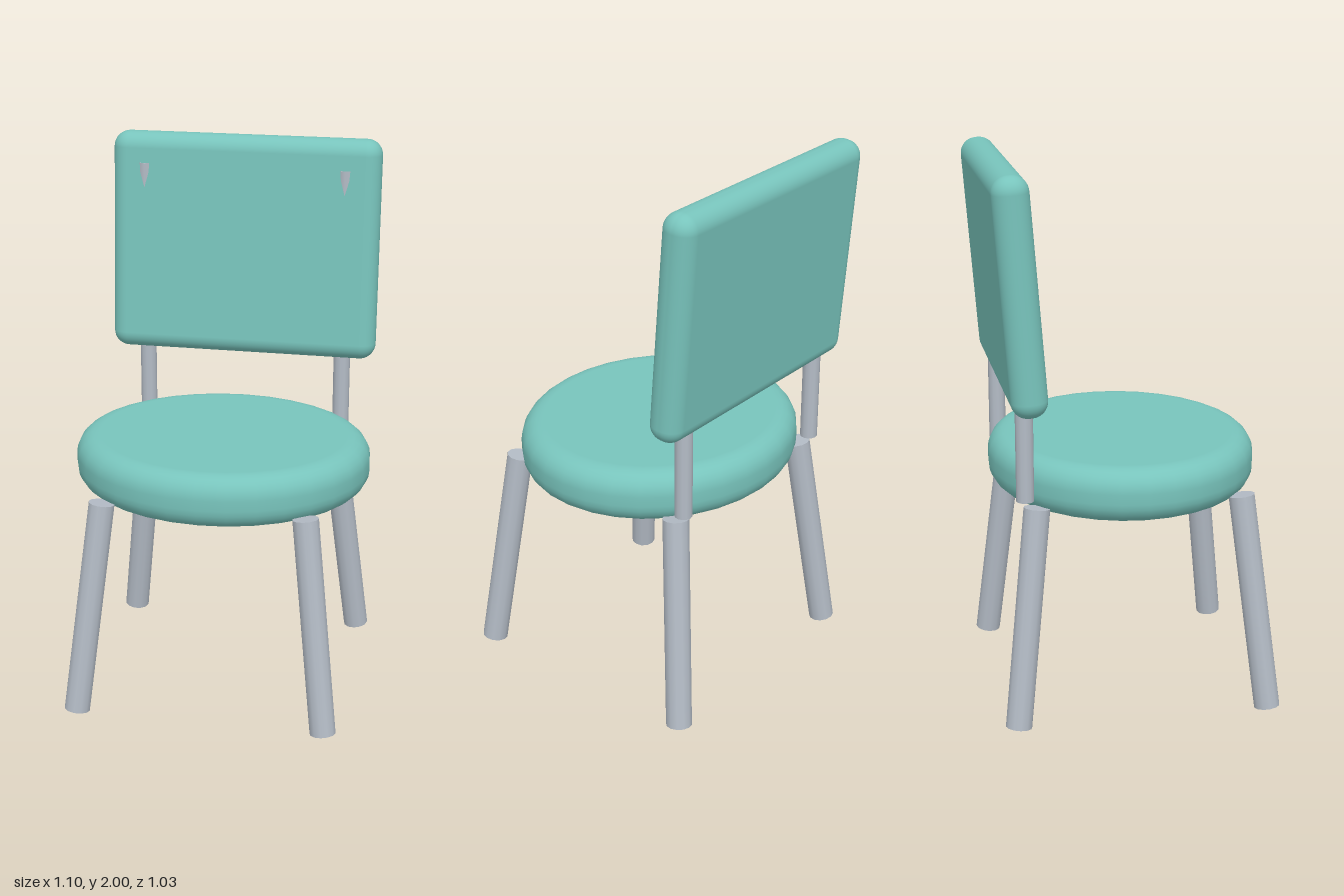
import * as THREE from 'three';
import { RoundedBoxGeometry } from 'three/addons/geometries/RoundedBoxGeometry.js';

const padding = new THREE.MeshStandardMaterial({ color: 0x78c4bc });
const metal = new THREE.MeshStandardMaterial({ color: 0xb4bcc6 });

// Straight round bar between two points
function bar(name, from, to, radius) {
  const dir = to.clone().sub(from);
  const mesh = new THREE.Mesh(new THREE.CylinderGeometry(radius, radius, dir.length(), 12), metal);
  mesh.position.copy(from).add(to).multiplyScalar(0.5);
  mesh.quaternion.setFromUnitVectors(new THREE.Vector3(0, 1, 0), dir.normalize());
  mesh.name = name;
  return mesh;
}

// Disc cushion with a rounded rim, lathed from bottom centre to top centre
function cushion(radius, bottom, top, round) {
  const pts = [new THREE.Vector2(0, bottom), new THREE.Vector2(radius - round - 0.01, bottom)];
  const steps = 6;
  for (const [cy, start] of [[bottom + round, -Math.PI / 2], [top - round, 0]]) {
    for (let i = 0; i <= steps; i++) {
      const a = start + (i / steps) * Math.PI / 2;
      pts.push(new THREE.Vector2(radius - round + round * Math.cos(a), cy + round * Math.sin(a)));
    }
  }
  pts.push(new THREE.Vector2(radius - round - 0.01, top), new THREE.Vector2(0, top));
  return new THREE.LatheGeometry(pts, 32);
}

export function createModel() {
  const chair = new THREE.Group();
  chair.name = 'chair';

  // Oval seat
  const seat = new THREE.Mesh(cushion(0.55, 0.775, 0.972, 0.08), padding);
  seat.name = 'seat';
  seat.scale.z = 0.895;
  seat.position.z = 0.005;
  chair.add(seat);

  // Backrest panel, leaning back
  const back = new THREE.Mesh(new RoundedBoxGeometry(1.028, 0.838, 0.13, 5, 0.06), padding);
  back.name = 'backrest';
  back.position.set(0, 1.582, -0.424);
  back.rotation.x = -0.075;
  chair.add(back);

  for (const side of [1, -1]) {
    const label = side > 0 ? 'left' : 'right';
    // Splayed legs
    for (const end of [1, -1]) {
      chair.add(bar(
        label + (end > 0 ? 'FrontLeg' : 'BackLeg'),
        new THREE.Vector3(side * 0.461, 0.008, 0.008 + end * 0.461),
        new THREE.Vector3(side * 0.372, 0.807, 0.008 + end * 0.372),
        0.048));
    }
    // Upright back post, its top breaking through the panel face
    chair.add(bar(
      label + 'BackPost',
      new THREE.Vector3(side * 0.384, 0.84, -0.407),
      new THREE.Vector3(side * 0.384, 1.89, -0.407),
      0.032));
  }
  return chair;
}
